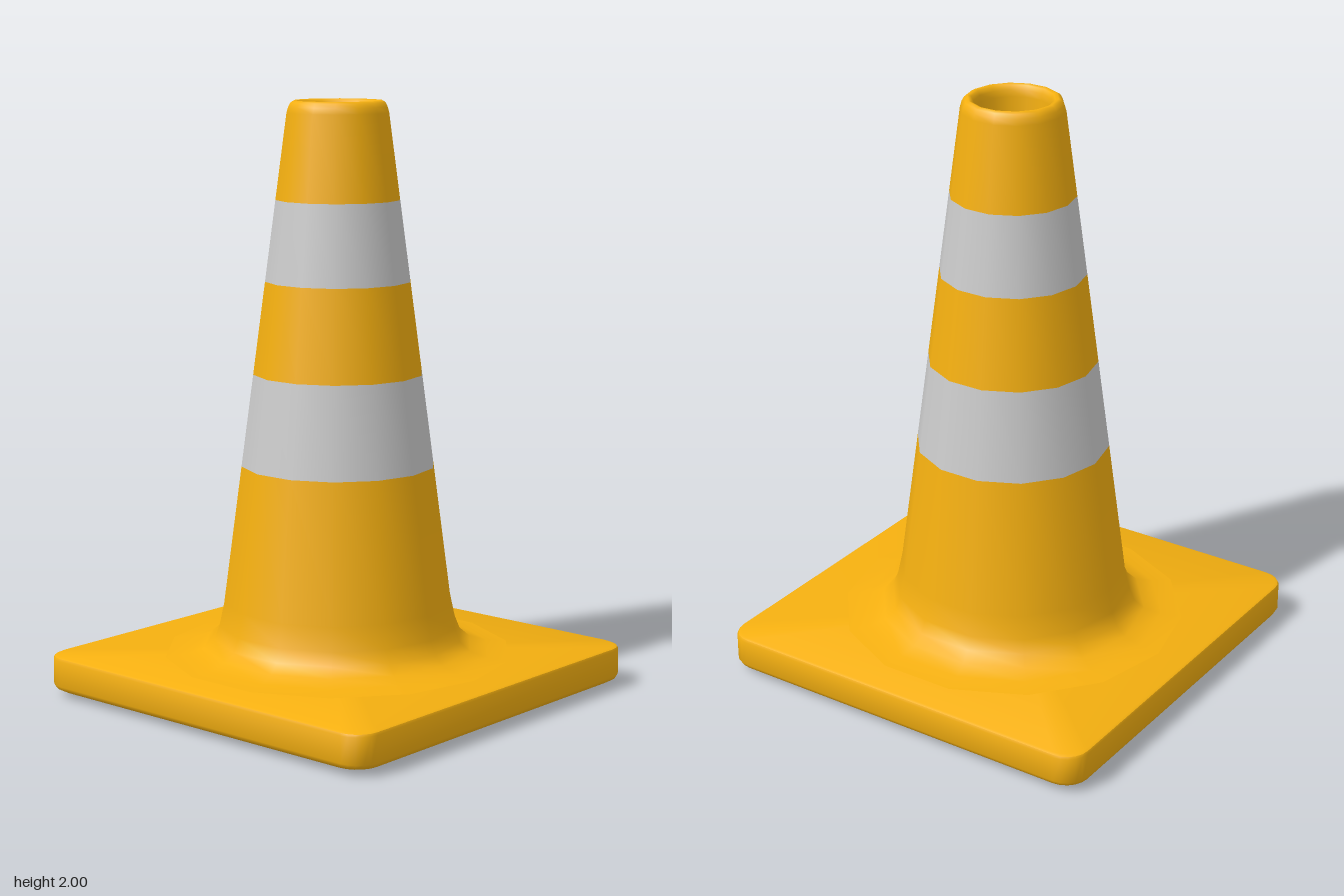
import * as THREE from 'three';
import { toCreasedNormals } from 'three/addons/utils/BufferGeometryUtils.js';

const SIDES = 14;
const orange = new THREE.MeshStandardMaterial({ color: 0xf5b010 });
const grey = new THREE.MeshStandardMaterial({ color: 0xcccccc });

// Outer radius of the straight tapering wall at height y
const wall = (y) => 0.328 - (y - 0.785) * 0.133;

function lathe(name, profile, material) {
  const points = profile.map(([r, y]) => new THREE.Vector2(r, y));
  const mesh = new THREE.Mesh(new THREE.LatheGeometry(points, SIDES), material);
  mesh.name = name;
  return mesh;
}

// Outline of a square with rounded corners, half-width h
function roundedSquare(h, radius, steps = 5) {
  const r = Math.min(radius, h);
  const outline = [];
  for (let corner = 0; corner < 4; corner++) {
    const mid = Math.PI / 4 + corner * Math.PI / 2;
    const cx = Math.sign(Math.cos(mid)) * (h - r);
    const cz = Math.sign(Math.sin(mid)) * (h - r);
    for (let i = 0; i <= steps; i++) {
      const a = (corner + i / steps) * Math.PI / 2;
      outline.push([cx + r * Math.cos(a), cz + r * Math.sin(a)]);
    }
  }
  return outline;
}

// Base slab lofted through [half-width, height] sections
function baseGeometry() {
  const sections = [
    [0, 0], [0.64, 0.012], [0.685, 0.018], [0.7, 0.027], [0.706, 0.04],
    [0.706, 0.128], [0.703, 0.136], [0.695, 0.14], [0, 0.14],
  ];
  const positions = [];
  const index = [];
  let count = 0;
  sections.forEach(([h, y], row) => {
    const ring = roundedSquare(h, 0.08);
    count = ring.length;
    ring.forEach(([x, z]) => positions.push(x, y, z));
    if (row === 0) return;
    for (let j = 0; j < count; j++) {
      const k = (j + 1) % count;
      const low = (row - 1) * count;
      const high = row * count;
      index.push(low + j, high + j, low + k, high + j, high + k, low + k);
    }
  });
  const geometry = new THREE.BufferGeometry();
  geometry.setAttribute('position', new THREE.Float32BufferAttribute(positions, 3));
  geometry.setIndex(index);
  return toCreasedNormals(geometry, 0.7);
}

export function createModel() {
  const group = new THREE.Group();
  group.name = 'trafficCone';

  const base = new THREE.Mesh(baseGeometry(), orange);
  base.name = 'base';
  group.add(base);

  // Lower wall, flaring into the base
  group.add(lathe('lowerCone', [
    [0.6, 0.139], [0.52, 0.147], [0.46, 0.165], [0.425, 0.195],
    [0.407, 0.24], [wall(0.32), 0.32], [wall(0.785), 0.785],
  ], orange));

  // Alternating bands up the wall
  const bands = [
    ['lowerStripe', 0.785, 1.095, grey],
    ['middleCone', 1.095, 1.405, orange],
    ['upperStripe', 1.405, 1.675, grey],
  ];
  for (const [name, y0, y1, material] of bands) {
    group.add(lathe(name, [[wall(y0), y0], [wall(y1), y1]], material));
  }

  // Top wall with a rounded rim turning into the recess
  group.add(lathe('topCone', [
    [wall(1.675), 1.675], [wall(1.96), 1.96], [0.166, 1.98], [0.158, 1.994],
    [0.147, 2], [0.136, 1.996], [0.128, 1.982], [0.125, 1.96], [0.12, 1.82],
  ], orange));

  // Floor closing the recess
  group.add(lathe('recessFloor', [[0.12, 1.82], [0, 1.82]], orange));

  return group;
}
